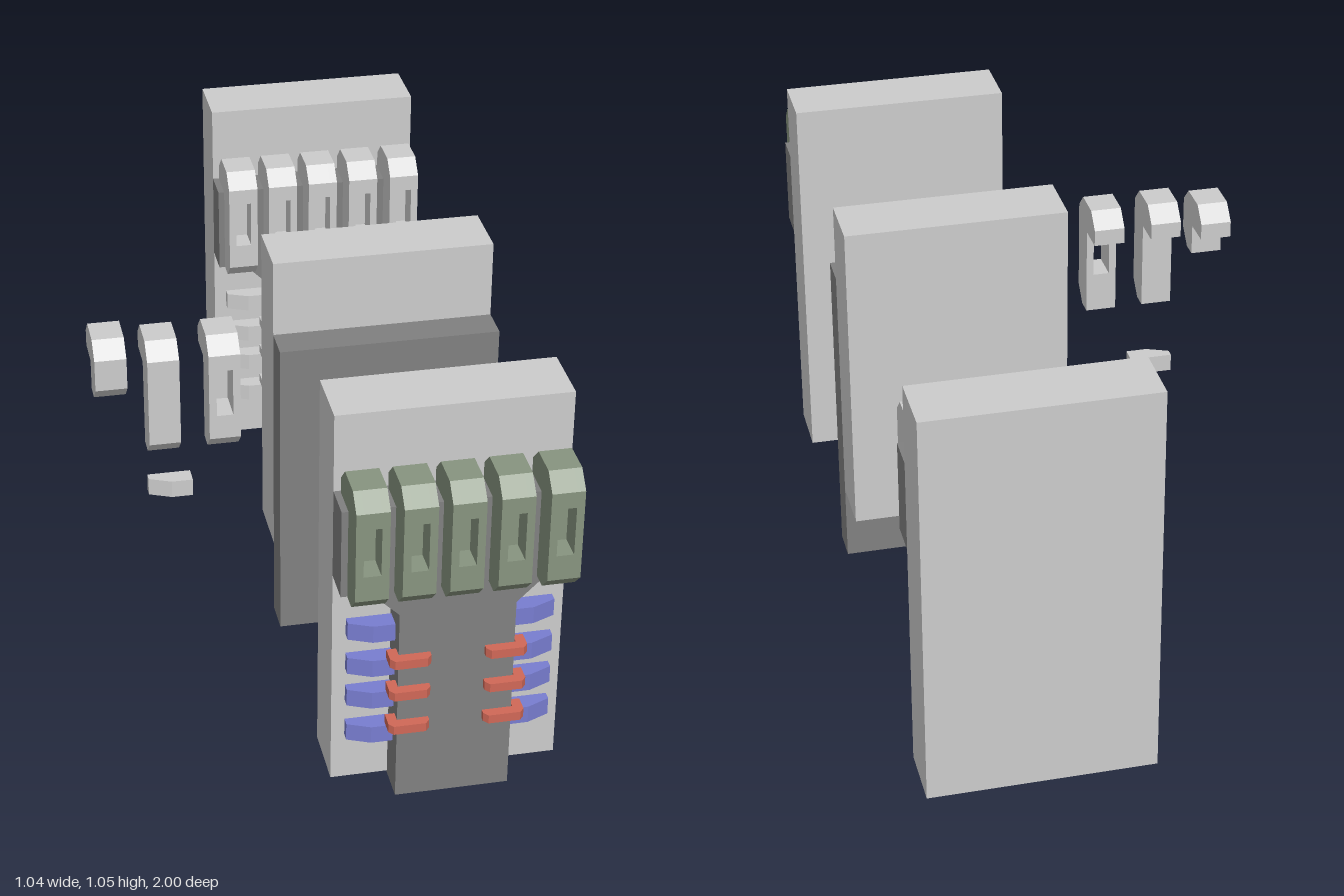
import * as THREE from 'three';

const mat = (color) => new THREE.MeshStandardMaterial({ color, flatShading: true });
const GREY = mat(0xcccccc), DARK = mat(0x808080), GREEN = mat(0x87947f), BLUE = mat(0x787dd0), RED = mat(0xd06857);
const CX = 0.235, WIDTH = 0.57, PANEL_TOP = 0.846;

function add(parent, name, geometry, material) {
  const mesh = new THREE.Mesh(geometry, material);
  mesh.name = name;
  parent.add(mesh);
  return mesh;
}

function box(parent, name, material, x0, x1, y0, y1, z0, z1) {
  const g = new THREE.BoxGeometry(x1 - x0, y1 - y0, z1 - z0);
  g.translate((x0 + x1) / 2, (y0 + y1) / 2, (z0 + z1) / 2);
  return add(parent, name, g, material);
}

const extrude = (pts, depth) => new THREE.ExtrudeGeometry(
  new THREE.Shape(pts.map(([a, b]) => new THREE.Vector2(a, b))), { depth, bevelEnabled: false });

// side profile of [z, y] points, swept from x0 to x1
function sideSweep(pts, x0, x1) {
  return extrude(pts, x1 - x0).rotateY(-Math.PI / 2).translate(x1, 0, 0);
}

// plan outline of [x, z] points, swept from y0 to y1
function planSweep(pts, y0, y1) {
  return extrude(pts.map(([x, z]) => [x, -z]), y1 - y0).rotateX(-Math.PI / 2).translate(0, y0, 0);
}

// hooked claw: z = 0 is its back tip, y = 0 the underside of the hook
function claw(name, material, legLength, windowed) {
  const g = new THREE.Group();
  g.name = name;
  const D = 0.165, M = 0.081, T = 0.083, C = 0.04, W = 0.04, w = 0.021, drop = 0.129;
  const top = [[0, 0], [0, T - C], [C, T], [D - C, T], [D, T - C]];
  const foot = [[D, C - legLength], [D - C, -legLength], [M, -legLength]];
  const full = [...top, ...foot, [M, 0]];
  if (!windowed) {
    add(g, 'clawBody', sideSweep(full, -W, W), material);
    return g;
  }
  add(g, 'clawSideRight', sideSweep(full, -W, -w), material);
  add(g, 'clawSideLeft', sideSweep(full, w, W), material);
  add(g, 'clawHook', sideSweep([...top, [D, 0]], -w, w), material);
  add(g, 'clawFoot', sideSweep([[M, -drop], [D, -drop], ...foot], -w, w), material);
  return g;
}

// side tab: flat at the inner half, sloping towards the outer end
function tab(parent, material, xInner, dir, y, z) {
  const pts = [[0, 0], [0, 0.046], [0.055, 0.046], [0.112, 0.022], [0.112, 0]];
  add(parent, 'sideTab', planSweep(pts.map(([u, v]) => [xInner + dir * u, z + v]), y, y + 0.047), material);
}

// clip bent round the edge of the panel
function clip(parent, material, xInner, dir, y) {
  const pts = [[0, 0.916], [0, 0.93], [0.011, 0.943], [0.09, 0.943], [0.101, 0.93],
    [0.101, 0.89], [0.076, 0.89], [0.076, 0.916]];
  add(parent, 'edgeClip', planSweep(pts.map(([u, z]) => [xInner + dir * u, z]), y, y + 0.024), material);
}

// complete unit: board, T-shaped panel, five claws, tabs and clips
function assembly(name, clawMat, tabMat, clipMat) {
  const g = new THREE.Group();
  g.name = name;
  box(g, 'board', GREY, CX - WIDTH / 2, CX + WIDTH / 2, 0.005, 1.05, 0.662, 0.826);

  const half = [[0.142, 0], [0.142, 0.54], [0.213, 0.61], [WIDTH / 2, 0.61], [WIDTH / 2, PANEL_TOP]];
  const outline = [...half, ...half.map(([x, y]) => [-x, y]).reverse()];
  add(g, 'panel', extrude(outline, 0.091).translate(CX, 0, 0.826), DARK);

  for (const x of [0.006, 0.118, 0.231, 0.346, 0.463]) {
    const c = claw('claw', clawMat, 0.236, true);
    box(c, 'clawWindowBack', clawMat, -0.021, 0.021, -0.129, 0, 0.082, 0.1);
    c.position.set(x, PANEL_TOP, 0.835);
    g.add(c);
  }
  [[0.44, 0.444], [0.339, 0.339], [0.244, 0.244], [0.14, 0.146]].forEach(([yr, yl]) => {
    tab(g, tabMat, 0.094, -1, yr, 0.833);
    tab(g, tabMat, 0.378, 1, yl, 0.833);
  });
  [[0.4, 0.4], [0.307, 0.301], [0.207, 0.207]].forEach(([yr, yl]) => {
    clip(g, clipMat, 0.17, -1, yr);
    clip(g, clipMat, 0.304, 1, yl);
  });
  return g;
}

export function createModel() {
  const model = new THREE.Group();
  model.name = 'panelAssemblySet';

  // coloured unit in front, plain unit behind
  model.add(assembly('frontAssembly', GREEN, BLUE, RED));
  const rear = assembly('rearAssembly', GREY, GREY, GREY);
  rear.position.z = -1.662;
  model.add(rear);

  // plain blank in the middle
  const blank = new THREE.Group();
  blank.name = 'middleBlank';
  box(blank, 'blankBoard', GREY, CX - WIDTH / 2, CX + WIDTH / 2, 0.21, 1.05, -0.086, 0.078);
  box(blank, 'blankPanel', DARK, CX - WIDTH / 2, CX + WIDTH / 2, 0, PANEL_TOP, 0.078, 0.169);
  model.add(blank);

  // loose parts: short claw, solid claw, windowed claw and one tab
  const loose = new THREE.Group();
  loose.name = 'looseParts';
  [['shortClaw', -0.485, 0.053, 0.081, false], ['solidClaw', -0.358, 0.083, 0.235, false],
    ['windowedClaw', -0.205, 0.083, 0.235, true]].forEach(([name, x, z, leg, windowed]) => {
    const c = claw(name, GREY, leg, windowed);
    c.position.set(x, 0.855, z);
    loose.add(c);
  });
  tab(loose, GREY, -0.276, -1, 0.438, 0.108);
  model.add(loose);
  return model;
}
